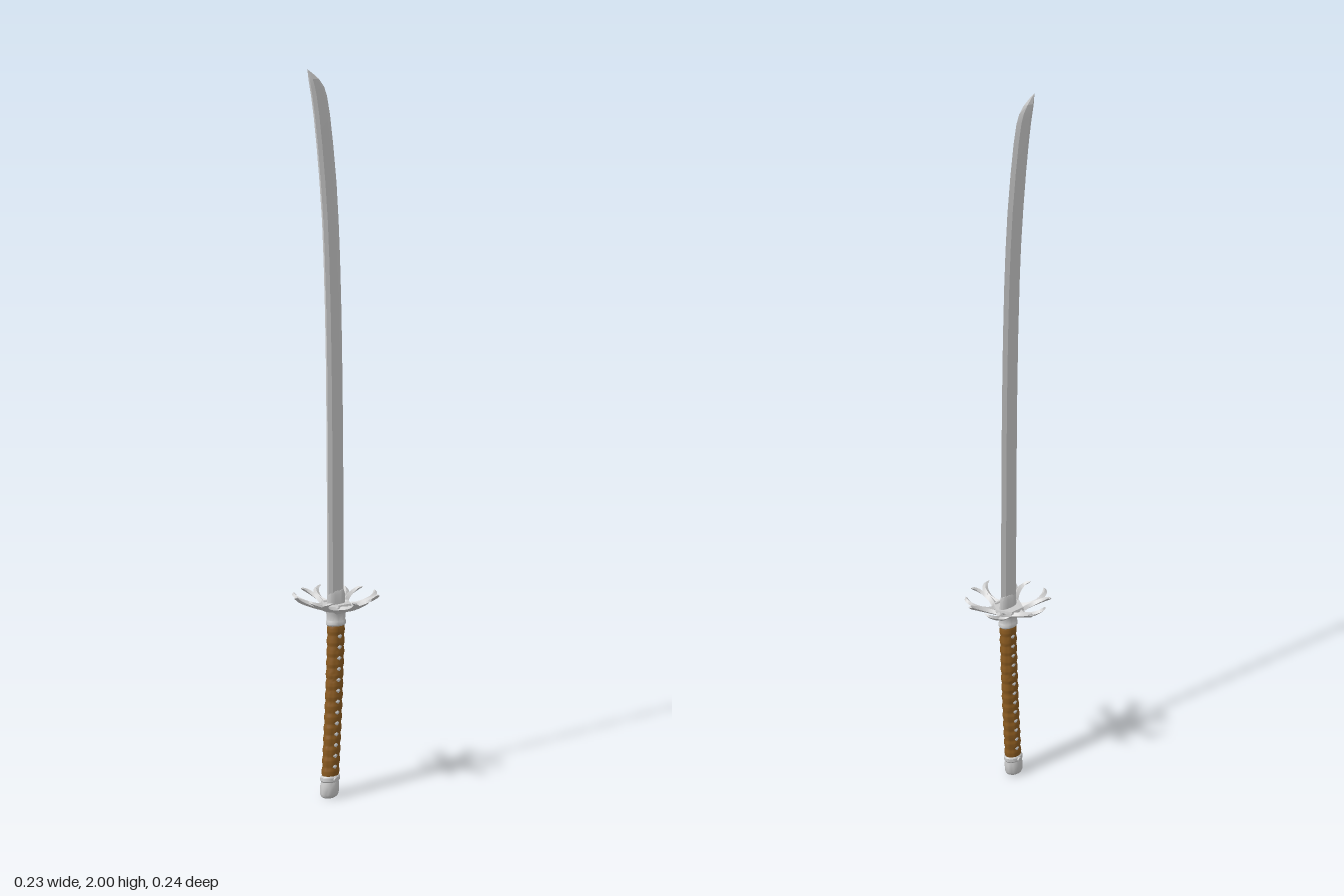
import * as THREE from 'three';
import { toCreasedNormals } from 'three/addons/utils/BufferGeometryUtils.js';

const steel = new THREE.MeshStandardMaterial({ color: 0xcccccc });
const leather = new THREE.MeshStandardMaterial({ color: 0x8a5a20 });
const V = (x, y, z) => new THREE.Vector3(x, y, z);

// Skin a list of equal-length rings and close both ends
function loft(rings, crease) {
  const n = rings[0].length, pos = [], index = [];
  rings.forEach(r => r.forEach(p => pos.push(p.x, p.y, p.z)));
  for (let i = 0; i < rings.length - 1; i++) {
    for (let j = 0; j < n; j++) {
      const a = i * n + j, b = i * n + (j + 1) % n;
      index.push(a, b, b + n, a, b + n, a + n);
    }
  }
  [0, rings.length - 1].forEach((i, end) => {
    const c = rings[i].reduce((s, p) => s.add(p), V(0, 0, 0)).divideScalar(n);
    const k = pos.length / 3;
    pos.push(c.x, c.y, c.z);
    for (let j = 0; j < n; j++) {
      const a = i * n + j, b = i * n + (j + 1) % n;
      index.push(...(end ? [k, a, b] : [k, b, a]));
    }
  });
  const g = new THREE.BufferGeometry();
  g.setAttribute('position', new THREE.Float32BufferAttribute(pos, 3));
  g.setIndex(index);
  return toCreasedNormals(g, crease);
}

function add(parent, name, geometry, material = steel) {
  const m = new THREE.Mesh(geometry, material);
  m.name = name;
  parent.add(m);
  return m;
}

// Sideways bend of the grip at height y
const bend = y => -0.021 * Math.pow(Math.max(0, (0.5 - y) / 0.45), 1.4);

// Horizontal oval ring that follows the grip bend
function oval(y, rx, rz, sides = 20) {
  return Array.from({ length: sides }, (_, j) => {
    const a = j / sides * Math.PI * 2;
    return V(bend(y) + rx * Math.cos(a), y, -rz * Math.sin(a));
  });
}
const ovals = (rows, crease = 0.6) => loft(rows.map(r => oval(...r)), crease);

// Blade: [height, spine x, edge x], thin spine, full middle, sharp edge
function blade() {
  const profile = [
    [0.53, -0.028, 0.027], [0.8, -0.029, 0.026], [1.0, -0.030, 0.025], [1.2, -0.032, 0.022],
    [1.35, -0.035, 0.019], [1.5, -0.040, 0.014], [1.6, -0.045, 0.009], [1.7, -0.053, 0.002],
    [1.8, -0.063, -0.009], [1.88, -0.073, -0.020], [1.93, -0.081, -0.030], [1.955, -0.086, -0.040],
    [1.975, -0.090, -0.057], [1.99, -0.093, -0.078], [2.0, -0.096, -0.095]
  ];
  return loft(profile.map(([y, x0, x1]) => {
    const w = x1 - x0, t = Math.min(1, w / 0.035);
    const at = (f, z) => V(x0 + w * f, y, z * t);
    return [at(1, 0), at(0.75, -0.0055), at(0.22, -0.007), at(0, -0.003),
      at(0, 0.003), at(0.22, 0.007), at(0.75, 0.0055)];
  }), 0.15);
}

// Curled guard horn with a ridged section; side is +1 or -1
function horn(side) {
  const path = new THREE.CatmullRomCurve3([
    [0.038, 0.540, 0.003], [0.050, 0.543, 0.022], [0.068, 0.550, 0.036],
    [0.090, 0.560, 0.042], [0.107, 0.569, 0.038], [0.115, 0.575, 0.026]
  ].map(([r, y, t]) => V(r, y, t * side)));
  const rings = [], up = V(0, 1, 0), steps = 16;
  for (let i = 0; i <= steps; i++) {
    const u = i / steps, p = path.getPoint(u), t = path.getTangent(u);
    const s = up.clone().cross(t).normalize();
    const w = 0.0095 * Math.sqrt(Math.max(0.004, 1 - u ** 3)), h = 0.8 * w;
    rings.push([[w, 0], [0, h], [-w, 0], [0, -h]].map(
      ([a, b]) => p.clone().addScaledVector(s, a).addScaledVector(up, b)));
  }
  return loft(rings, 0.5);
}

export function createModel() {
  const sword = new THREE.Group();
  sword.name = 'sword';
  add(sword, 'blade', blade());

  // Sleeve at the blade root
  add(sword, 'bladeSleeve', ovals([[0.54, 0.031, 0.011], [0.575, 0.030, 0.010], [0.585, 0.027, 0.007]]));

  // Guard: hexagonal hub with six pairs of outward-curling horns
  const guard = new THREE.Group();
  guard.name = 'guard';
  sword.add(guard);
  const hub = [[0.001, 0.524], [0.028, 0.524], [0.046, 0.545], [0.044, 0.552], [0.038, 0.552],
    [0.036, 0.548], [0.001, 0.548]].map(p => new THREE.Vector2(...p));
  const hubMesh = add(guard, 'guardHub', toCreasedNormals(new THREE.LatheGeometry(hub, 6), 0.3));
  hubMesh.rotation.y = Math.PI / 2;
  const horns = [horn(1), horn(-1)];
  for (let i = 0; i < 6; i++) {
    for (const g of horns) add(guard, 'guardHorn', g).rotation.y = i * Math.PI / 3;
  }

  // Collar between guard and grip
  add(sword, 'collar', ovals([[0.488, 0.027, 0.020], [0.492, 0.030, 0.023], [0.500, 0.030, 0.023],
    [0.504, 0.028, 0.021], [0.520, 0.029, 0.022], [0.530, 0.032, 0.025]]));

  // Grip: scalloped wrapping
  const turns = 14, y0 = 0.06, y1 = 0.49, rows = [];
  for (let i = 0; i <= turns * 6; i++) {
    const swell = 0.0025 * Math.abs(Math.sin(i / 6 * Math.PI));
    rows.push([y0 + (y1 - y0) * i / (turns * 6), 0.0245 + swell, 0.0185 + swell]);
  }
  add(sword, 'gripWrap', ovals(rows, 0.7), leather);

  // Diamond studs on both faces of the grip
  const diamond = new THREE.OctahedronGeometry(1);
  for (let i = 0; i < turns - 1; i++) {
    const y = y0 + (y1 - y0) * (i + 1) / turns;
    for (const s of [1, -1]) {
      const d = add(sword, 'gripDiamond', diamond);
      d.position.set(bend(y), y, s * 0.0185);
      d.scale.set(0.008, 0.011, 0.0035);
    }
  }

  // Pommel cap with a rivet on each face
  add(sword, 'pommel', ovals([[0, 0.018, 0.013], [0.004, 0.025, 0.018], [0.012, 0.029, 0.021],
    [0.035, 0.029, 0.022], [0.046, 0.027, 0.020], [0.050, 0.030, 0.023],
    [0.060, 0.030, 0.023], [0.064, 0.027, 0.020]]));
  for (const s of [1, -1]) {
    const rivet = add(sword, 'pommelRivet', new THREE.CylinderGeometry(0.006, 0.006, 0.01, 10));
    rivet.rotation.x = Math.PI / 2;
    rivet.position.set(bend(0.055), 0.055, s * 0.023);
  }
  return sword;
}
